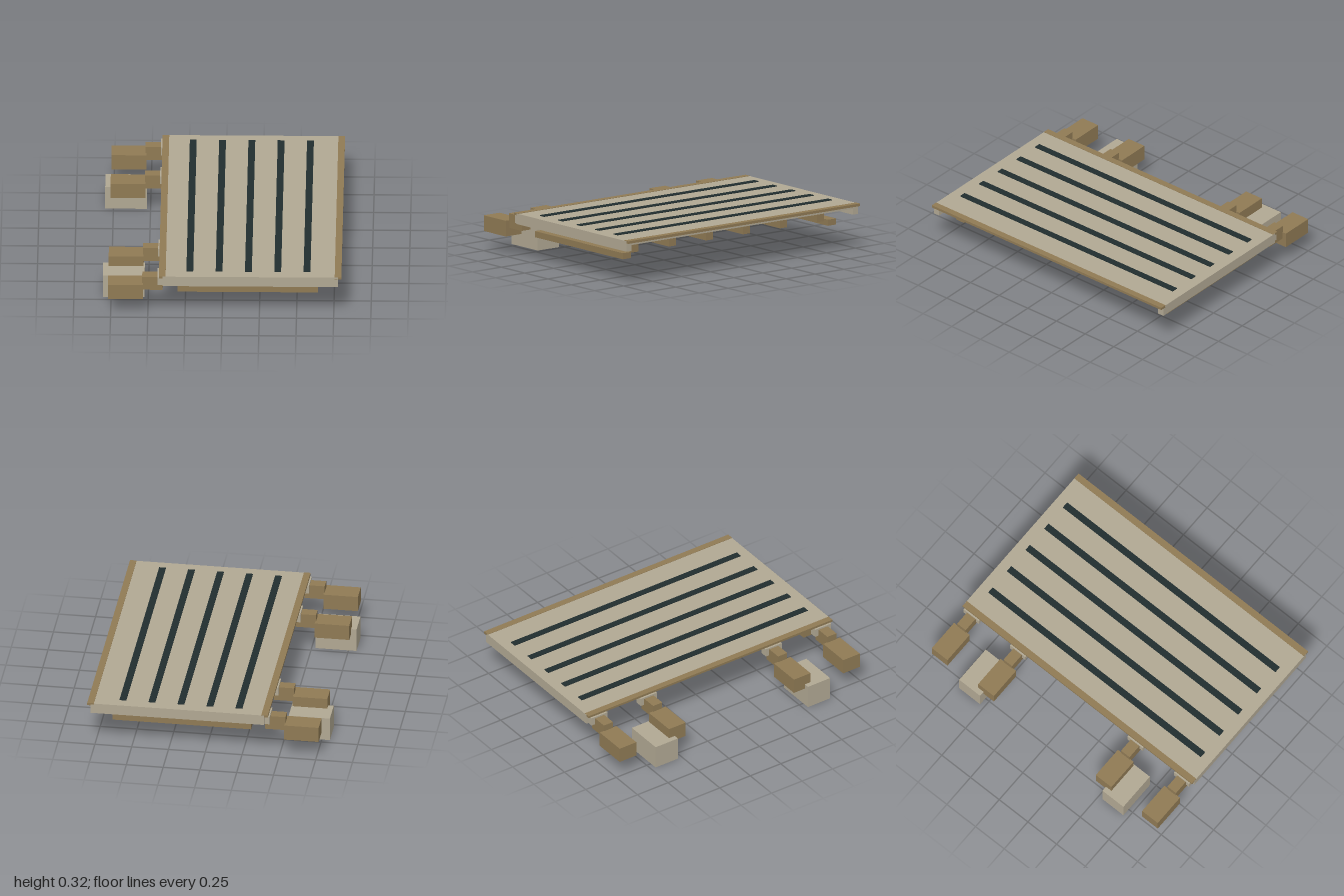
import * as THREE from 'three';

const paint = (name, color) => {
  const m = new THREE.MeshStandardMaterial({ color });
  m.name = name;
  return m;
};

export function createModel() {
  const model = new THREE.Group();
  model.name = 'rampPlatform';
  const stone = paint('paleGrey', 0xb1a893);
  const brown = paint('brown', 0x8f7a54);
  const dark = paint('darkGrip', 0x212e2f);

  // Box given by its lower and upper limits on each axis
  const box = (name, mat, [x0, x1], [y0, y1], [z0, z1], parent = model) => {
    const mesh = new THREE.Mesh(new THREE.BoxGeometry(x1 - x0, y1 - y0, z1 - z0), mat);
    mesh.position.set((x0 + x1) / 2, (y0 + y1) / 2, (z0 + z1) / 2);
    mesh.name = name;
    parent.add(mesh);
  };
  // Limits mirrored to the chosen end
  const end = (side, near, far) => (side > 0 ? [near, far] : [-far, -near]);

  // Deck with raised edge trims
  box('deck', stone, [-0.4, 0.78], [0.28, 0.312], [-1, 1]);
  box('hingeTrim', brown, [-0.425, -0.38], [0.299, 0.3145], [-0.999, 0.999]);
  box('lipTrim', brown, [0.757, 0.802], [0.297, 0.3145], [-1, 1]);

  // Grip strips
  for (let i = 0; i < 5; i++) {
    const x = -0.218 + i * 0.197;
    box('gripStrip', dark, [x - 0.023, x + 0.023], [0.311, 0.317], [-0.927, 0.925]);
  }

  // Ribs under the deck
  for (let i = 0; i < 6; i++) {
    const z = -0.8 + i * 0.32;
    box('rib', brown, [-0.285, 0.627], [0.187, 0.281], [z - 0.03, z + 0.03]);
  }

  for (const side of [1, -1]) {
    // Side skirt and lower runner
    box('sideSkirt', stone, [-0.4, 0.78], [0.24, 0.281], end(side, 0.955, 1));
    box('runner', brown, [-0.3, 0.643], [0.155, 0.197], end(side, 0.85, 0.92));

    // Counterweight block
    box('footBlock', stone, [-0.805, -0.525], [0, 0.165], end(side, 0.533, 0.715));

    // Two hinge arms: clevis, link and end block
    for (const c of [0.512, 0.916]) {
      const arm = new THREE.Group();
      arm.name = 'hingeArm';
      model.add(arm);
      box('clevisTop', stone, [-0.435, -0.385], [0.284, 0.296], end(side, c - 0.066, c + 0.066), arm);
      for (const d of [-0.053, 0.053]) {
        box('clevisCheek', stone, [-0.435, -0.385], [0.238, 0.285], end(side, c + d - 0.013, c + d + 0.013), arm);
      }
      box('link', brown, [-0.538, -0.4], [0.186, 0.285], end(side, c - 0.037, c + 0.037), arm);
      box('endBlock', brown, [-0.768, -0.533], [0.13, 0.238], end(side, c - 0.068, c + 0.068), arm);
    }
  }
  return model;
}
